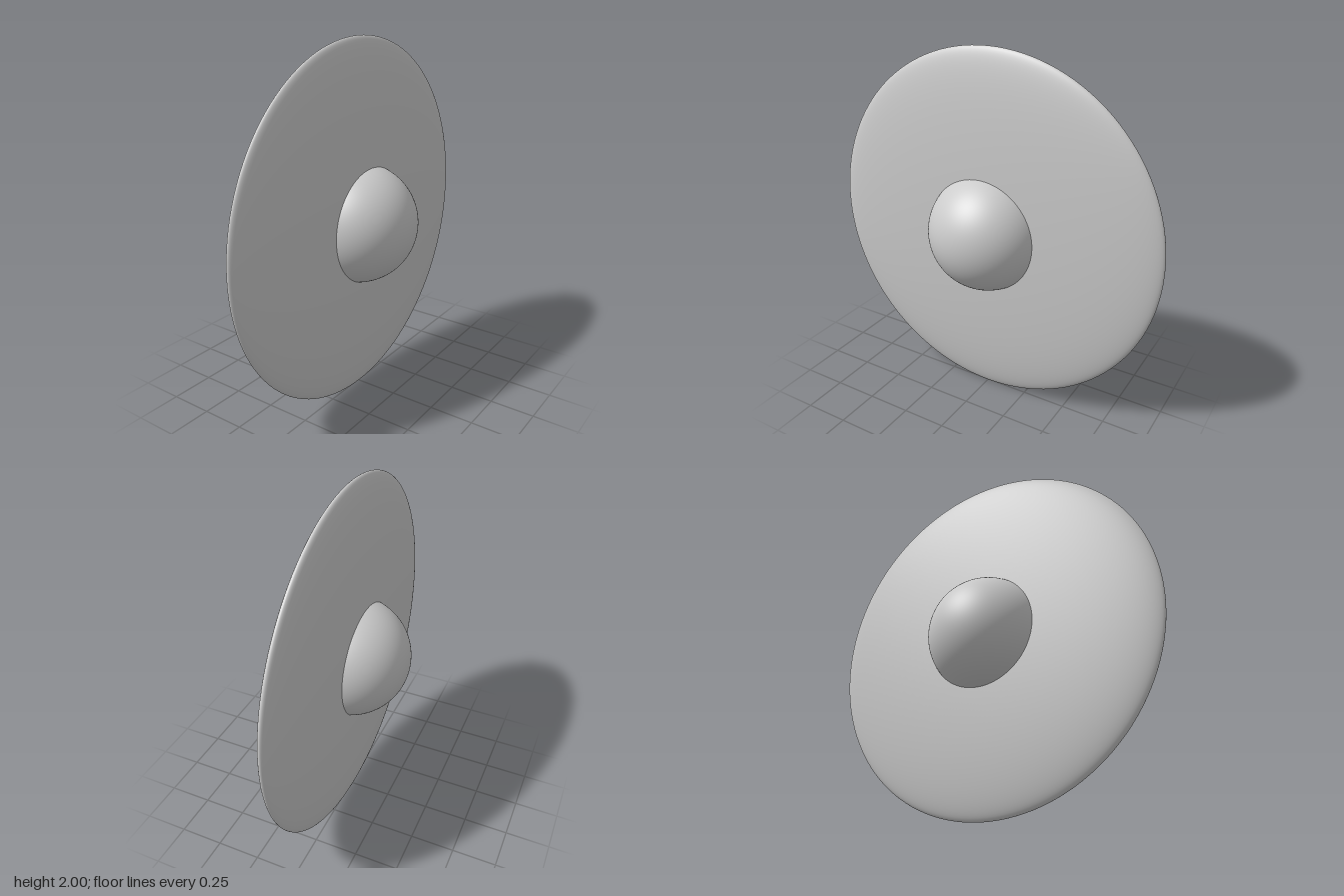
import * as THREE from 'three';

export function createModel() {
  const model = new THREE.Group();
  const material = new THREE.MeshStandardMaterial({ color: 0xcccccc });

  // Ellipsoid with its poles on the z axis, centred one unit above the ground
  function addEllipsoid(name, radius, halfDepth) {
    const geometry = new THREE.SphereGeometry(1, 128, 64);
    geometry.rotateX(Math.PI / 2);
    geometry.scale(radius, radius, halfDepth);
    const mesh = new THREE.Mesh(geometry, material);
    mesh.name = name;
    mesh.position.y = 1;
    model.add(mesh);
  }

  // Thin upright lens-shaped disc
  addEllipsoid('disc', 1, 0.095);
  // Round core bulging from both faces
  addEllipsoid('centralBulge', 0.332, 0.332);

  return model;
}
